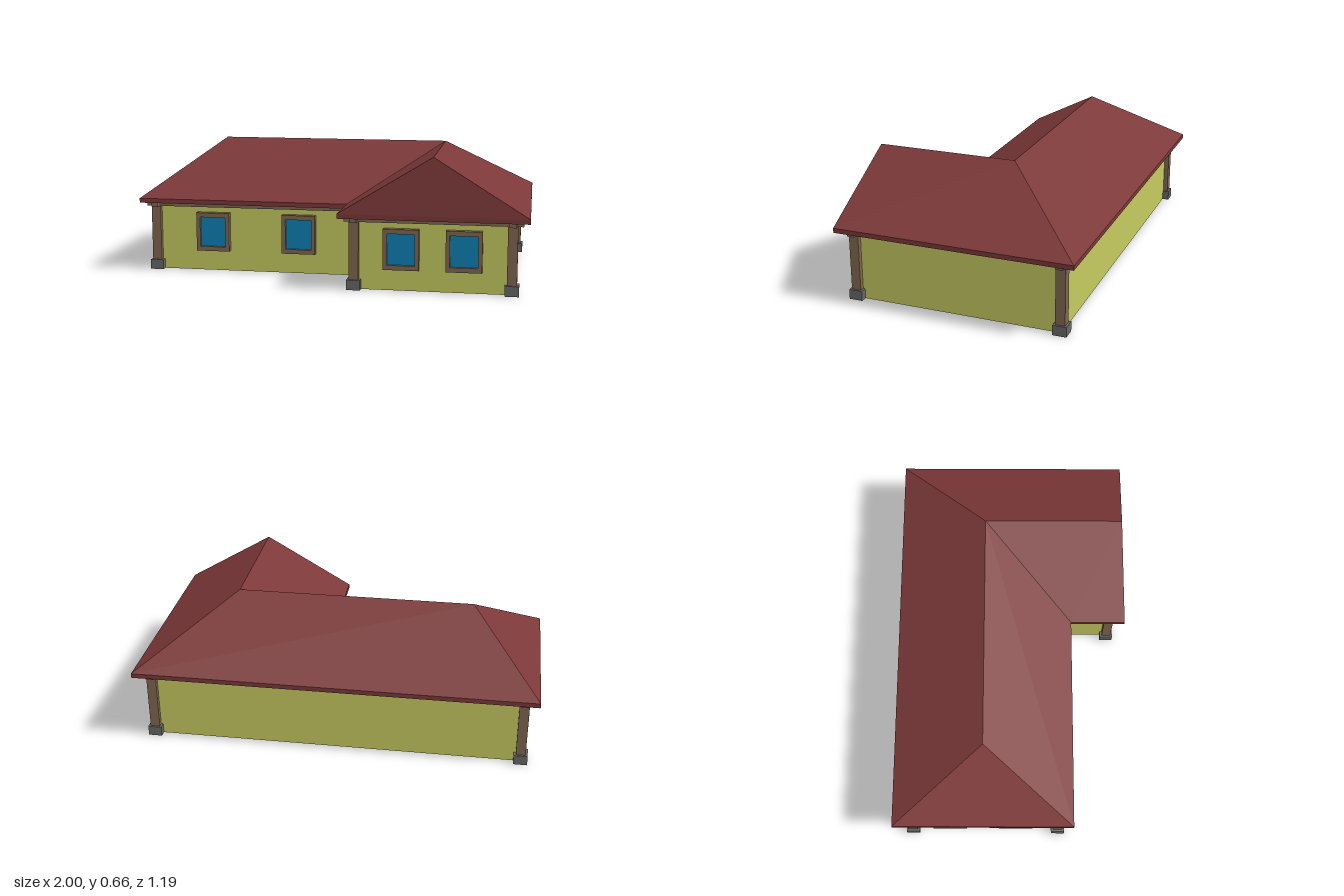
import * as THREE from 'three';

const mat = (color) => new THREE.MeshStandardMaterial({ color, flatShading: true });
const WALL = mat(0xc6ca60), ROOF = mat(0x7c3838), WOOD = mat(0x806850), GLASS = mat(0x0e80b4), STONE = mat(0x686868);

// Wall corner lines of the L-shaped plan
const X0 = -0.928, X1 = 0.16, X2 = 0.92;
const Z0 = -0.517, Z1 = 0.24, Z2 = 0.52;
const EAVE = 0.38, RIDGE = 0.659, BEAM_Y = 0.334, SLAB_Y = 0.357;

function add(parent, name, geometry, material, x = 0, y = 0, z = 0) {
  const mesh = new THREE.Mesh(geometry, material);
  mesh.name = name;
  mesh.position.set(x, y, z);
  parent.add(mesh);
  return mesh;
}

// Flat plan of [x, z] points raised into a prism from y0 to y1
function prism(points, y0, y1) {
  const shape = new THREE.Shape(points.map(([x, z]) => new THREE.Vector2(x, -z)));
  return new THREE.ExtrudeGeometry(shape, { depth: y1 - y0, bevelEnabled: false })
    .rotateX(-Math.PI / 2)
    .translate(0, y0, 0);
}

// Stone foot and wooden shaft
function makePost(x, z) {
  const post = new THREE.Group();
  post.name = 'cornerPost';
  post.position.set(x, 0, z);
  add(post, 'postFoot', new THREE.BoxGeometry(0.068, 0.05, 0.068), STONE, 0, 0.025, 0);
  const height = BEAM_Y - 0.05;
  add(post, 'postShaft', new THREE.BoxGeometry(0.048, height, 0.048), WOOD, 0, 0.05 + height / 2, 0);
  return post;
}

// Framed window facing +z, its back on the wall
function makeWindow(x, z, turn = 0) {
  const w = 0.087, h = 0.1, iw = 0.067, ih = 0.077;
  const rect = (target, a, b) => target.moveTo(-a, -b).lineTo(a, -b).lineTo(a, b).lineTo(-a, b).closePath();
  const outline = rect(new THREE.Shape(), w, h);
  outline.holes.push(rect(new THREE.Path(), iw, ih));
  const win = new THREE.Group();
  win.name = 'window';
  win.position.set(x, 0.206, z);
  win.rotation.y = turn;
  add(win, 'windowFrame', new THREE.ExtrudeGeometry(outline, { depth: 0.03, bevelEnabled: false }), WOOD);
  add(win, 'windowPane', new THREE.BoxGeometry(iw * 2, ih * 2, 0.015), GLASS, 0, 0, 0.0075);
  return win;
}

function makeRoof() {
  const roof = new THREE.Group();
  roof.name = 'roof';
  const eaves = [[-1, -0.597], [1, -0.597], [1, 0.593], [0.086, 0.593], [0.086, 0.31], [-1, 0.31]];
  add(roof, 'eaveSlab', prism(eaves, SLAB_Y, EAVE), ROOF);

  // Slopes between the eave corners and the three ridge points
  const [A, B, C, D, E, F] = eaves.map(([x, z]) => [x, EAVE, z]);
  const L = [-0.65, RIDGE, -0.142], K = [0.543, RIDGE, -0.142], W = [0.543, RIDGE, 0.567];
  const slopes = [[L, K, B, A], [K, W, C, B], [W, D, C], [W, K, E, D], [K, L, F, E], [L, A, F]];
  const positions = [];
  for (const s of slopes) {
    for (let i = 1; i < s.length - 1; i++) positions.push(...s[0], ...s[i + 1], ...s[i]);
  }
  // The left and front hips are listed in the opposite sense
  const geometry = new THREE.BufferGeometry();
  geometry.setAttribute('position', new THREE.Float32BufferAttribute(faceUp(positions), 3));
  geometry.computeVertexNormals();
  add(roof, 'roofSlopes', geometry, ROOF);
  return roof;
}

// Order each triangle's corners so that it faces upward
function faceUp(p) {
  for (let i = 0; i < p.length; i += 9) {
    const ux = p[i + 3] - p[i], uz = p[i + 5] - p[i + 2];
    const vx = p[i + 6] - p[i], vz = p[i + 8] - p[i + 2];
    if (uz * vx - ux * vz < 0) {
      for (let k = 3; k < 6; k++) [p[i + k], p[i + k + 3]] = [p[i + k + 3], p[i + k]];
    }
  }
  return p;
}

export function createModel() {
  const house = new THREE.Group();
  house.name = 'house';

  // L-shaped walls with a closed floor
  const corners = [[X0, Z0], [X2, Z0], [X2, Z2], [X1, Z2], [X1, Z1], [X0, Z1]];
  add(house, 'walls', prism(corners, 0, SLAB_Y), WALL);

  // A post on each corner, and crossing beams that overshoot the corners
  const over = 0.05, thick = 0.035, beamH = SLAB_Y - BEAM_Y;
  corners.forEach(([x, z], i) => {
    house.add(makePost(x, z));
    const [nx, nz] = corners[(i + 1) % corners.length];
    const dx = Math.abs(nx - x), dz = Math.abs(nz - z);
    const size = dx > dz ? [dx + 2 * over, beamH, thick] : [thick, beamH, dz + 2 * over];
    add(house, 'eaveBeam', new THREE.BoxGeometry(...size), WOOD, (x + nx) / 2, BEAM_Y + beamH / 2, (z + nz) / 2);
  });

  // Front windows on the main body and the wing, side windows on the right end
  for (const x of [-0.623, -0.171]) house.add(makeWindow(x, Z1));
  for (const x of [0.39, 0.692]) house.add(makeWindow(x, Z2));
  for (const z of [-0.32, 0.02]) house.add(makeWindow(X0, z, -Math.PI / 2));

  house.add(makeRoof());
  return house;
}
